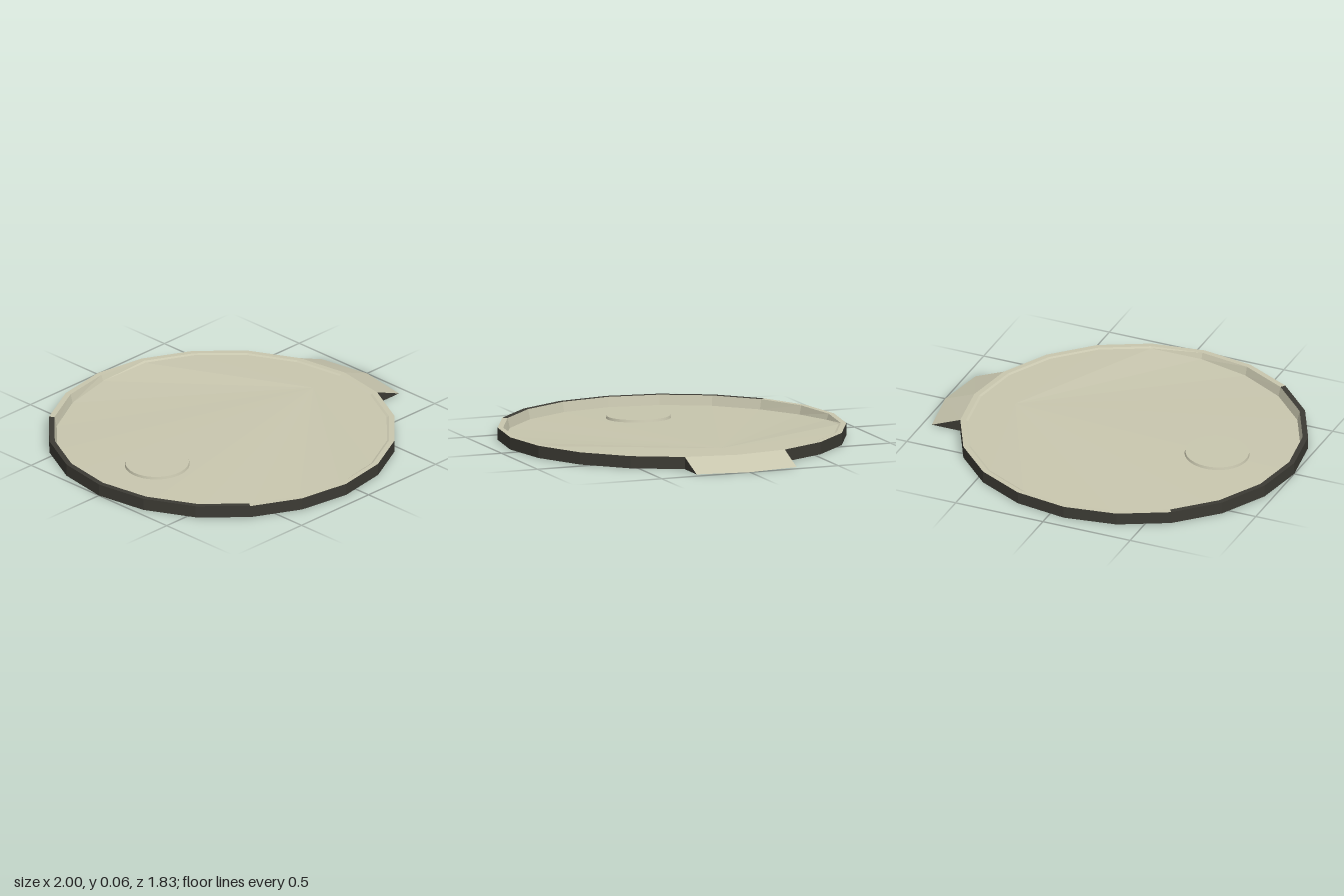
import * as THREE from 'three';

const SIDES = 20, CX = -0.083, TOP = 0.065;
const beige = new THREE.MeshStandardMaterial({ color: 0xc8c6ae });
beige.name = 'beige';
const dark = new THREE.MeshStandardMaterial({ color: 0x3c3b34 });
dark.name = 'dark grey';

// one closed ring of corner points, height given as a rule of x
function ring(radius, height) {
  return Array.from({ length: SIDES }, (_, i) => {
    const a = (i / SIDES) * Math.PI * 2;
    const x = CX + radius * Math.cos(a);
    return [x, height(x), radius * Math.sin(a)];
  });
}

// faceted mesh from a list of triangles
function facets(name, triangles, material) {
  const geometry = new THREE.BufferGeometry();
  geometry.setAttribute('position', new THREE.Float32BufferAttribute(triangles.flat(2), 3));
  geometry.computeVertexNormals();
  const mesh = new THREE.Mesh(geometry, material);
  mesh.name = name;
  return mesh;
}

// quads joining ring a to ring b for the chosen sides
function band(a, b, sides) {
  return sides.flatMap((i) => {
    const n = (i + 1) % SIDES;
    return [[a[n], a[i], b[i]], [a[n], b[i], b[n]]];
  });
}

// floor edge: flush on the ramp side, sinking toward the far side
function floorHeight(x) {
  const t = THREE.MathUtils.clamp((0.2 - x) / 0.85, 0, 1);
  return 0.06 - 0.048 * (1 - (1 - t) ** 2);
}

export function createModel() {
  const group = new THREE.Group();
  const all = Array.from({ length: SIDES }, (_, i) => i);
  const rampSides = [SIDES - 1, 0];
  const isDarkRim = (i) => i >= 7 && i <= 12;

  const base = ring(0.917, () => 0);
  const rimOuter = ring(0.917, () => TOP);
  const rimInner = ring(0.888, () => TOP);
  const floorEdge = ring(0.876, floorHeight);

  // tray body
  group.add(facets('outerWall', band(base, rimOuter, all.filter((i) => !rampSides.includes(i))), dark));
  group.add(facets('rim', band(rimOuter, rimInner, all.filter((i) => !isDarkRim(i))), beige));
  group.add(facets('darkRim', band(rimOuter, rimInner, all.filter(isDarkRim)), dark));
  group.add(facets('innerWall', band(rimInner, floorEdge, all), beige));

  // floor fans out from a point near the ramp
  const apex = [0.6, 0.06, 0];
  group.add(facets('floor', all.map((i) => [floorEdge[(i + 1) % SIDES], floorEdge[i], apex]), beige));
  group.add(facets('underside', all.map((i) => [[CX, 0, 0], base[i], base[(i + 1) % SIDES]]), beige));

  // entry ramp with a pointed toe
  const toe = base.map(([x, , z]) => [x, 0, z]);
  toe[0] = [1, 0, 0];
  toe[1][0] = toe[SIDES - 1][0] = 0.952;
  const last = SIDES - 1;
  group.add(facets('ramp', band(toe, rimOuter, rampSides), beige));
  group.add(facets('rampUnderside', band(base, toe, rampSides), beige));
  group.add(facets('rampSides', [
    [base[1], toe[1], rimOuter[1]],
    [base[last], rimOuter[last], toe[last]],
  ], dark));

  // low round pad, tilted with the floor
  const pad = new THREE.Mesh(new THREE.CylinderGeometry(0.167, 0.172, 0.02, 40), beige);
  pad.name = 'pad';
  const slope = (0.06 - floorHeight(-0.96)) / (0.6 + 0.96);
  pad.position.set(-0.56, 0.06 - slope * 1.16 + 0.003, -0.005);
  pad.rotation.z = Math.atan(slope);
  group.add(pad);

  return group;
}
